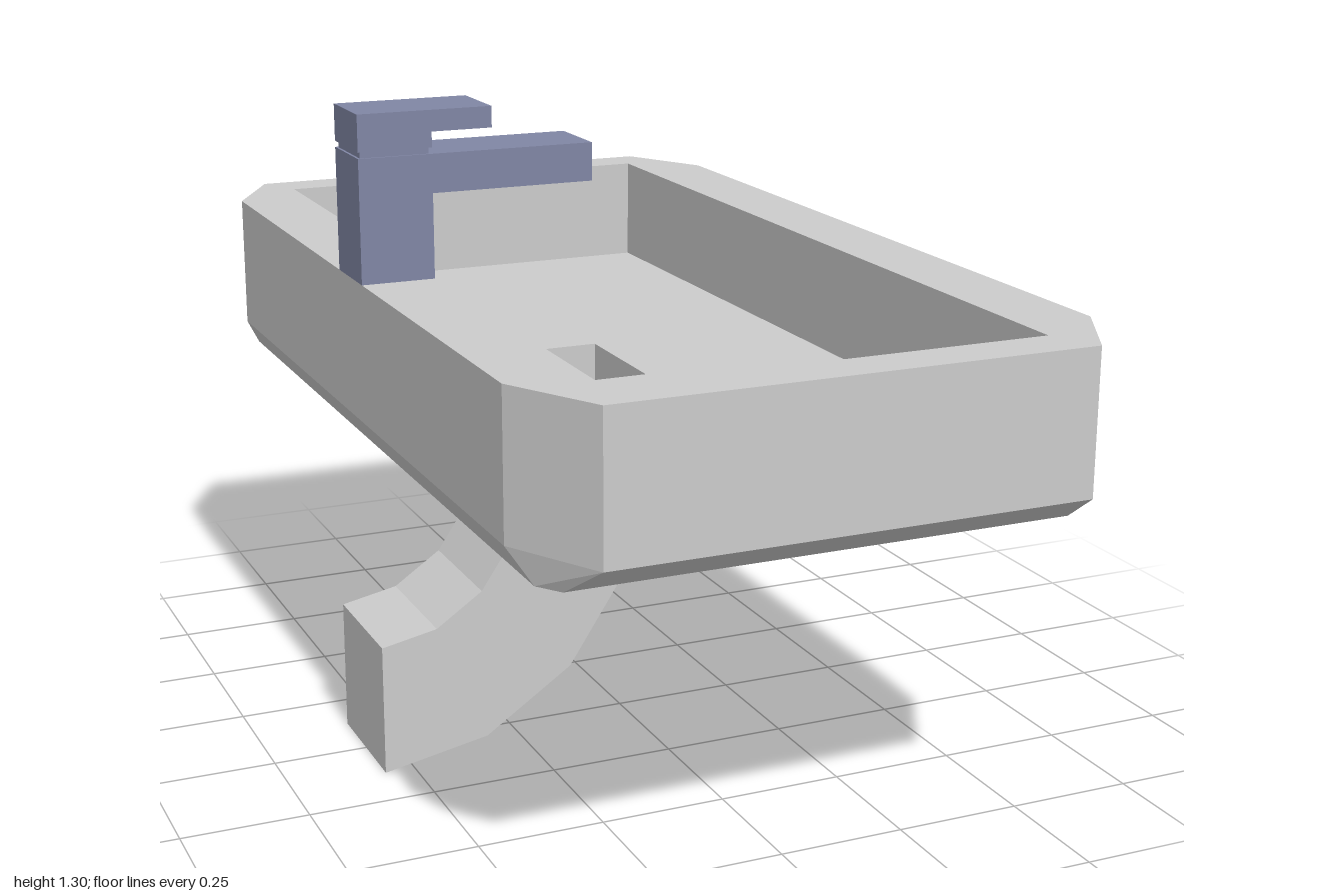
import * as THREE from 'three';

const grey = new THREE.MeshStandardMaterial({ color: 0xcccccc, flatShading: true });
const greyOpen = new THREE.MeshStandardMaterial({ color: 0xcccccc, flatShading: true, side: THREE.DoubleSide });
const blue = new THREE.MeshStandardMaterial({ color: 0x8086a4, flatShading: true });

function add(parent, name, geometry, material) {
  const mesh = new THREE.Mesh(geometry, material);
  mesh.name = name;
  parent.add(mesh);
  return mesh;
}

// Flat-sided skin through loops of [x, y, z] points with equal counts
function skin(loops) {
  const pos = [];
  for (let k = 0; k < loops.length - 1; k++) {
    const a = loops[k], b = loops[k + 1];
    for (let i = 0; i < a.length; i++) {
      const j = (i + 1) % a.length;
      pos.push(...a[i], ...a[j], ...b[j], ...a[i], ...b[j], ...b[i]);
    }
  }
  const g = new THREE.BufferGeometry();
  g.setAttribute('position', new THREE.Float32BufferAttribute(pos, 3));
  g.computeVertexNormals();
  return g;
}

// Horizontal panel bounded by one loop, with an opening from another
function panel(outer, hole, up) {
  const s = up ? -1 : 1;
  const points = (loop) => loop.map(([x, , z]) => new THREE.Vector2(x, s * z));
  const shape = new THREE.Shape(points(outer));
  shape.holes.push(new THREE.Path(points(hole)));
  return new THREE.ShapeGeometry(shape).rotateX(s * Math.PI / 2).translate(0, outer[0][1], 0);
}

// Loops run counter-clockwise seen from above
const rect = (x0, x1, z0, z1, y) => [[x1, y, z1], [x1, y, z0], [x0, y, z0], [x0, y, z1]];
const octagon = (x0, x1, z0, z1, cx, cz, y) => [
  [x1, y, z1 - cz], [x1, y, z0 + cz], [x1 - cx, y, z0], [x0 + cx, y, z0],
  [x0, y, z0 + cz], [x0, y, z1 - cz], [x0 + cx, y, z1], [x1 - cx, y, z1],
];

// Side profile in x, y given thickness along z
function slab(points, width) {
  const shape = new THREE.Shape(points.map(([x, y]) => new THREE.Vector2(x, y)));
  return new THREE.ExtrudeGeometry(shape, { depth: width, bevelEnabled: false }).translate(0, 0, -width / 2);
}

function createBasin() {
  const basin = new THREE.Group();
  basin.name = 'basin';
  const bottom = octagon(-0.525, 0.505, -0.905, 0.91, 0.032, 0.045, 0.645);
  const waist = octagon(-0.56, 0.56, -1, 1, 0.1, 0.18, 0.705);
  const top = octagon(-0.56, 0.56, -1, 1, 0.1, 0.18, 0.98);
  const mouth = rect(-0.415, 0.415, -0.91, 0.905, 0.98);
  const floor = rect(-0.415, 0.415, -0.91, 0.905, 0.76);
  const drain = rect(-0.25, 0, -0.13, 0.13, 0.76);
  add(basin, 'basinOuterWall', skin([bottom, waist, top]), grey);
  add(basin, 'basinRim', panel(top, mouth, true), grey);
  add(basin, 'basinInnerWall', skin([mouth, floor]), grey);
  add(basin, 'basinFloor', panel(floor, drain, true), grey);
  add(basin, 'basinUnderside', panel(bottom, drain, false), grey);
  return basin;
}

// Square drain pipe: straight down from the floor, then a quarter bend to the back wall
function createDrainPipe() {
  const pipe = new THREE.Group();
  pipe.name = 'drainPipe';
  const w = 0.13;
  const ring = ([xo, yo, xi, yi]) => [[xo, yo, w], [xo, yo, -w], [xi, yi, -w], [xi, yi, w]];
  const sections = [
    [-0.56, 0.003, -0.56, 0.267],
    [-0.345, 0.045, -0.447, 0.29],
    [-0.165, 0.167, -0.352, 0.355],
    [-0.045, 0.35, -0.288, 0.45],
    [0, 0.57, -0.25, 0.645],
    [0, 0.76, -0.25, 0.76],
  ].map(ring);
  add(pipe, 'pipeWall', skin(sections), greyOpen);
  const end = new THREE.PlaneGeometry(2 * w, 0.264).rotateY(-Math.PI / 2).translate(-0.56, 0.135, 0);
  add(pipe, 'pipeEnd', end, greyOpen);
  return pipe;
}

function createTap() {
  const tap = new THREE.Group();
  tap.name = 'tap';
  const w = 0.146;
  add(tap, 'tapSpout', slab([
    [-0.56, 0.98], [-0.415, 0.98], [-0.415, 1.145], [-0.09, 1.145], [-0.09, 1.22], [-0.56, 1.22],
  ], w), blue);
  add(tap, 'tapNeck', new THREE.BoxGeometry(0.135, 0.014, w - 0.01).translate(-0.4875, 1.226, 0), blue);
  add(tap, 'tapHandle', slab([
    [-0.56, 1.232], [-0.415, 1.232], [-0.415, 1.262], [-0.295, 1.262], [-0.295, 1.303], [-0.56, 1.303],
  ], w), blue);
  return tap;
}

export function createModel() {
  const model = new THREE.Group();
  model.name = 'washbasin';
  model.add(createBasin(), createDrainPipe(), createTap());
  return model;
}
